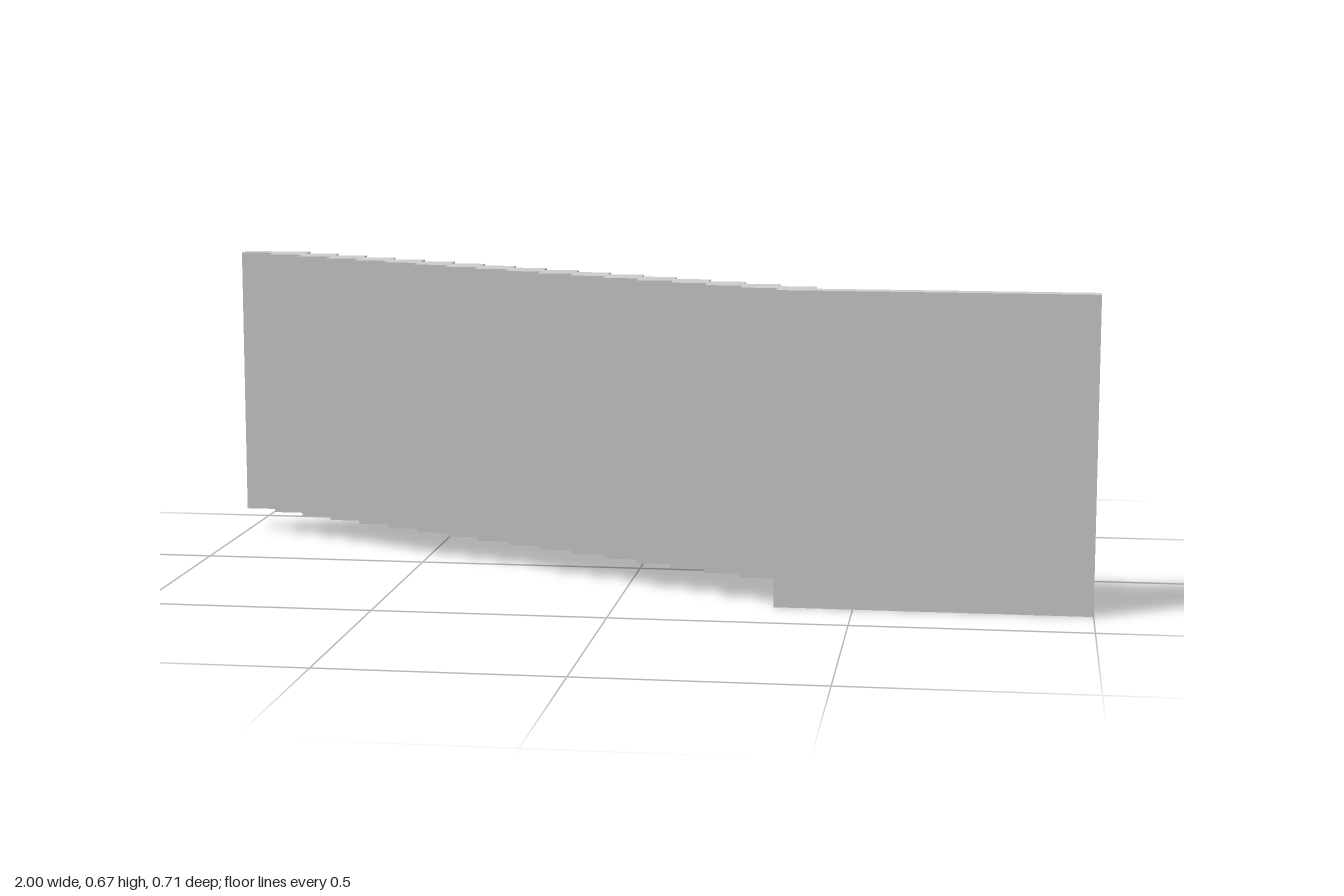
import * as THREE from 'three';

const SLATS = 17;
const STEP_X = 1.3333 / SLATS; // sideways shift per slat, half a slat width
const DEPTH = 0.7059 / (SLATS + 1); // thickness of every board
const TOP = 0.672;
const BACK = -0.353;

export function createModel() {
  const group = new THREE.Group();
  group.name = 'steppedScreen';
  const material = new THREE.MeshStandardMaterial({ color: 0xcccccc, flatShading: true });

  // A board placed by its left edge, bottom edge and layer from the back
  function addBoard(name, x, width, bottom, layer) {
    const height = TOP - bottom;
    const board = new THREE.Mesh(new THREE.BoxGeometry(width, height, DEPTH), material);
    board.name = name;
    board.position.set(x + width / 2, bottom + height / 2, BACK + (layer + 0.5) * DEPTH);
    group.add(board);
  }

  // Overlapping slats, each one layer forward and half a width across
  for (let i = 0; i < SLATS; i++) {
    addBoard(`slat${i + 1}`, -1 + i * STEP_X, 2 * STEP_X, 0.053, i);
  }

  // Wide front panel reaching the ground
  const panelX = -1 + SLATS * STEP_X;
  addBoard('frontPanel', panelX, 1 - panelX, 0, SLATS);

  return group;
}
